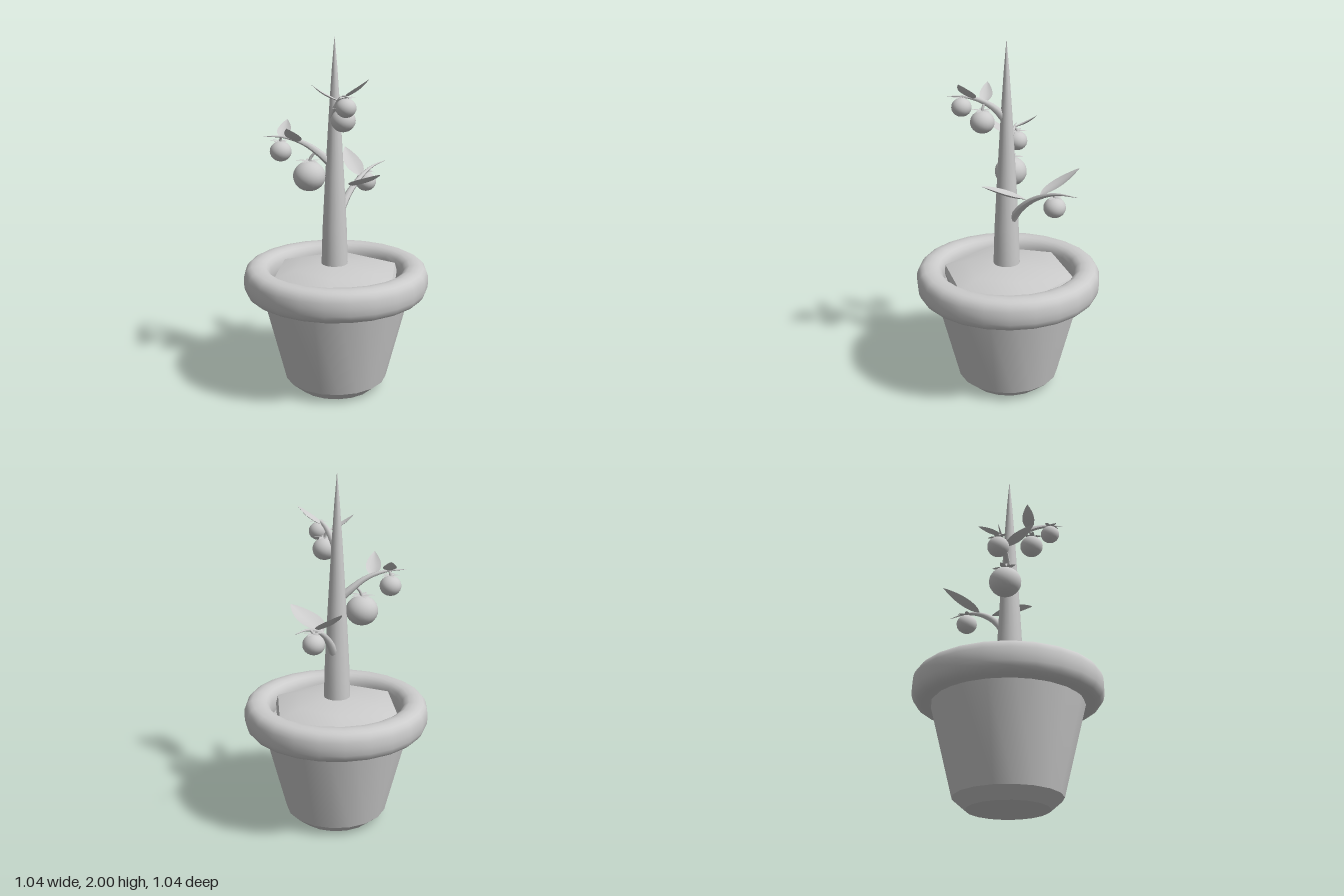
import * as THREE from 'three';
import { toCreasedNormals } from 'three/addons/utils/BufferGeometryUtils.js';

const V = (x, y, z) => new THREE.Vector3(x, y, z);
const UP = V(0, 1, 0);
const grey = new THREE.MeshStandardMaterial({ color: 0xcccccc });
const thin = new THREE.MeshStandardMaterial({ color: 0xcccccc, side: THREE.DoubleSide });

function add(parent, name, geometry, material = grey) {
  const mesh = new THREE.Mesh(geometry, material);
  mesh.name = name;
  parent.add(mesh);
  return mesh;
}

function lathe(points, segments, phi = 0, crease = 0.7) {
  const g = new THREE.LatheGeometry(points.map(([r, y]) => new THREE.Vector2(r, y)), segments, phi);
  return toCreasedNormals(g, crease);
}

// Round tube narrowing towards its end
function taperedTube(points, r0, r1, rings = 14, sides = 8) {
  const path = new THREE.CatmullRomCurve3(points);
  const g = new THREE.TubeGeometry(path, rings, r0, sides);
  const pos = g.attributes.position, v = V(0, 0, 0);
  for (let i = 0; i < pos.count; i++) {
    const t = Math.floor(i / (sides + 1)) / rings;
    const p = path.getPointAt(t);
    v.fromBufferAttribute(pos, i).sub(p).multiplyScalar(1 + (r1 / r0 - 1) * t).add(p);
    pos.setXYZ(i, v.x, v.y, v.z);
  }
  g.computeVertexNormals();
  return g;
}

// Pointed blade from base to tip: edges cupped upwards, arched along its length
function blade(base, tip, width, cup, arch, rows = 10, cols = 4) {
  const g = new THREE.PlaneGeometry(1, 1, cols, rows);
  const along = tip.clone().sub(base);
  const side = along.clone().cross(UP).normalize();
  const normal = side.clone().cross(along).normalize();
  const pos = g.attributes.position;
  for (let i = 0; i < pos.count; i++) {
    const t = pos.getY(i) + 0.5, s = pos.getX(i) * 2;
    const half = width / 2 * Math.pow(Math.sin(Math.PI * Math.pow(t, 0.8)), 0.85);
    const w = t > 0.999 || t < 0.001 ? 0 : half;
    const p = base.clone().addScaledVector(along, t).addScaledVector(side, s * w)
      .addScaledVector(normal, cup * w * s * s + arch * Math.sin(Math.PI * t));
    pos.setXYZ(i, p.x, p.y, p.z);
  }
  g.computeVertexNormals();
  return g;
}

// Slightly flattened fruit with a five-pointed calyx and a short stalk
function fruit(parent, [x, y, z, r], joint) {
  const group = new THREE.Group();
  group.name = 'fruit';
  group.position.set(x, y, z);
  const body = new THREE.SphereGeometry(r, 20, 14);
  body.scale(1, 0.92, 1);
  add(group, 'fruitBody', body);
  const top = r * 0.9, reach = 0.025 + r * 0.55;
  for (let i = 0; i < 5; i++) {
    const a = i * Math.PI * 2 / 5 + x * 9;
    const tip = V(Math.cos(a) * reach, top + 0.004, Math.sin(a) * reach);
    add(group, 'sepal', blade(V(0, top + 0.002, 0), tip, reach * 0.42, -0.2, 0.006, 6, 2), thin);
  }
  const end = joint.clone().sub(group.position);
  const mid = V(end.x * 0.3, (top + end.y) / 2, end.z * 0.3);
  add(group, 'fruitStalk', taperedTube([V(0, top - 0.005, 0), mid, end], 0.008, 0.007, 6, 6));
  parent.add(group);
}

const branches = [
  { // back branch
    path: [[0, 1.0, -0.02], [0, 1.1, -0.1], [0, 1.18, -0.21], [0, 1.235, -0.35], [0, 1.25, -0.49]],
    fruits: [[-0.02, 1.15, -0.32, 0.06]],
    leaves: [
      [[0.01, 1.16, -0.14], [0.255, 1.27, -0.05], 0.15],
      [[0, 1.2, -0.23], [-0.19, 1.335, -0.345], 0.11],
    ],
  },
  { // front branch towards the right
    path: [[0, 1.3, 0.02], [-0.06, 1.36, 0.055], [-0.13, 1.42, 0.105], [-0.22, 1.455, 0.165], [-0.315, 1.46, 0.235]],
    fruits: [[-0.115, 1.24, 0.09, 0.09], [-0.25, 1.375, 0.17, 0.06]],
    leaves: [
      [[-0.16, 1.43, 0.13], [-0.1, 1.53, 0.3], 0.085],
      [[-0.235, 1.455, 0.18], [-0.295, 1.535, 0.055], 0.075],
    ],
  },
  { // front branch towards the left
    path: [[0, 1.57, 0.02], [0.045, 1.63, 0.05], [0.1, 1.675, 0.095], [0.165, 1.7, 0.15], [0.24, 1.705, 0.215]],
    fruits: [[0.11, 1.565, 0.085, 0.066], [0.185, 1.645, 0.165, 0.054]],
    leaves: [
      [[0.14, 1.69, 0.12], [0.275, 1.79, 0.09], 0.09],
      [[0.085, 1.665, 0.09], [-0.025, 1.75, 0.18], 0.07],
    ],
  },
];

export function createModel() {
  const root = new THREE.Group();
  root.name = 'pottedFruitPlant';

  // Pot with chamfered foot and hollow inside
  add(root, 'pot', lathe([
    [0, 0.005], [0.22, 0.005], [0.29, 0.065], [0.415, 0.56], [0.43, 0.64],
    [0.38, 0.64], [0.34, 0.45], [0, 0.45],
  ], 18, 0, 0.5));

  // Thick rounded rim
  const rim = [];
  for (let i = 0; i <= 20; i++) {
    const a = i / 20 * Math.PI * 2, c = Math.cos(a), s = Math.sin(a);
    const soft = (v) => Math.sign(v) * Math.pow(Math.abs(v), 0.78);
    rim.push([0.445 + 0.075 * soft(c), 0.65 + 0.09 * soft(s)]);
  }
  add(root, 'rim', lathe(rim, 24, 0, 1));

  // Six-sided mound of soil
  add(root, 'soil', lathe([
    [0, 0.5], [0.33, 0.5], [0.39, 0.66], [0.375, 0.69], [0.25, 0.725], [0.1, 0.742], [0, 0.745],
  ], 6, Math.PI / 2, 0.6));

  // Tapering main stem
  const stem = add(root, 'stem', lathe([
    [0, 0.7], [0.076, 0.7], [0.068, 0.95], [0.052, 1.25], [0.031, 1.6], [0.015, 1.83], [0, 2],
  ], 16));
  stem.position.z = 0.012;

  // Branches with their leaves and fruit
  for (const { path, fruits, leaves } of branches) {
    const group = new THREE.Group();
    group.name = 'branch';
    const points = path.map((p) => V(...p));
    add(group, 'branchStalk', taperedTube(points, 0.026, 0.001));
    const samples = new THREE.CatmullRomCurve3(points).getPoints(40);
    for (const f of fruits) {
      // The stalk joins the nearest spot of the branch
      const top = V(f[0], f[1] + f[3], f[2]);
      const joint = samples.reduce((a, b) => (b.distanceTo(top) < a.distanceTo(top) ? b : a));
      fruit(group, f, joint);
    }
    for (const [base, tip, width] of leaves) {
      add(group, 'leaf', blade(V(...base), V(...tip), width, 0.25, -0.012), thin);
    }
    root.add(group);
  }
  return root;
}
